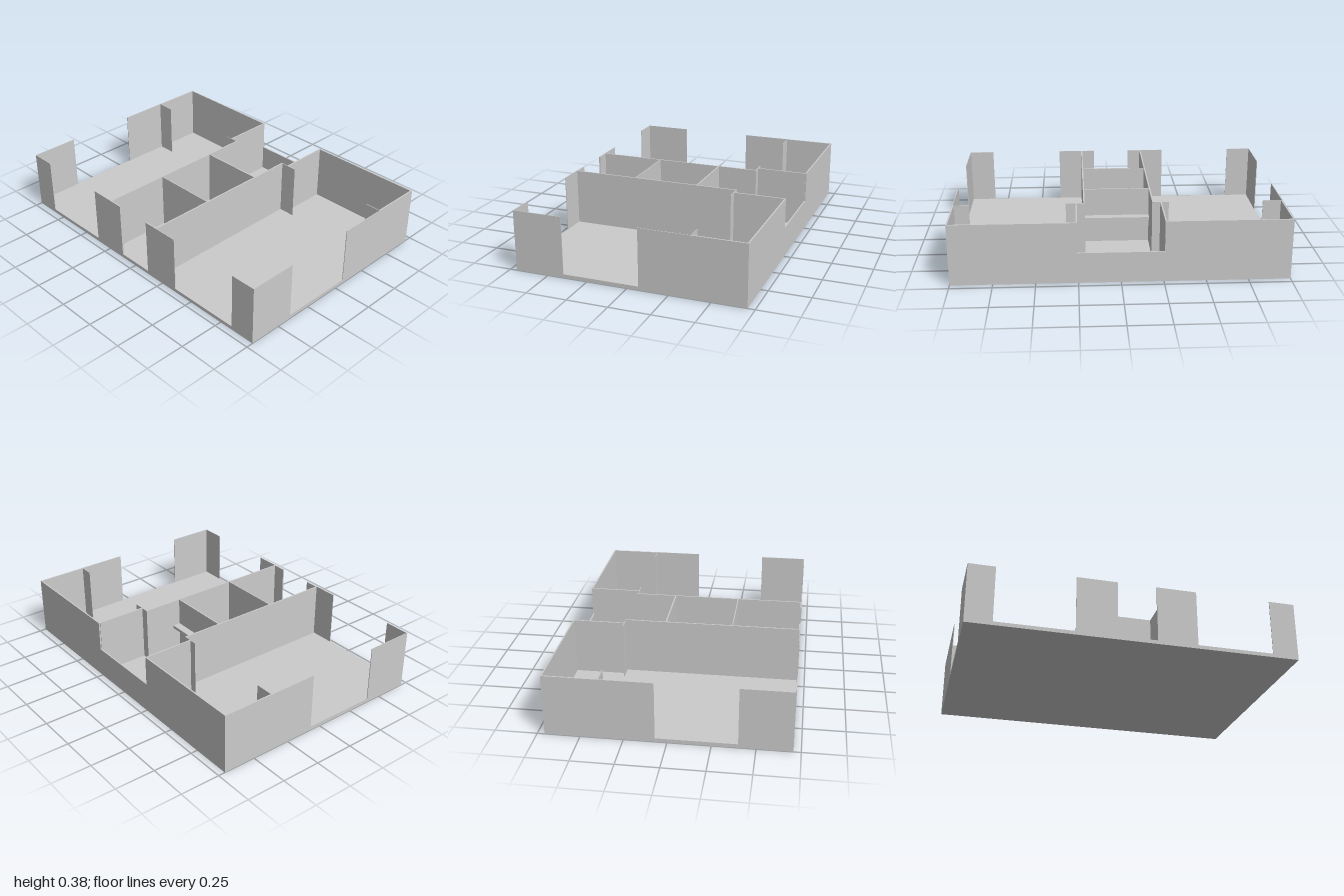
import * as THREE from 'three';

const FLOOR = 0.023;   // top of the floor slab
const TOP = 0.375;     // top of the full-height walls
const X = 1, Z = 0.707; // half width and half depth
const THIN = 0.004, THICK = 0.009;

export function createModel() {
  const model = new THREE.Group();
  model.name = 'housePlan';
  const material = new THREE.MeshStandardMaterial({ color: 0xcccccc, flatShading: true });

  // Box given by its two extreme corners
  function block(name, x0, x1, y0, y1, z0, z1) {
    const mesh = new THREE.Mesh(new THREE.BoxGeometry(x1 - x0, y1 - y0, z1 - z0), material);
    mesh.position.set((x0 + x1) / 2, (y0 + y1) / 2, (z0 + z1) / 2);
    mesh.name = name;
    model.add(mesh);
  }
  const wall = (name, x0, x1, z0, z1, top = TOP) => block(name, x0, x1, FLOOR, top, z0, z1);

  block('floor', -X, X, 0, FLOOR, -Z, Z);

  // Back wall: full height behind the side rooms, low in the middle
  wall('backWallRight', -X, -0.256, -Z, -Z + THICK);
  wall('backWallLeft', 0.256, X, -Z, -Z + THICK);
  wall('backWallLow', -0.256, 0.256, -Z, -Z + THICK, 0.188);

  for (const s of [-1, 1]) {
    const side = s < 0 ? 'Right' : 'Left';
    // Wall between two x positions measured outwards from the centre
    const mirrored = (name, a, b, z0, z1) =>
      wall(name + side, Math.min(s * a, s * b), Math.max(s * a, s * b), z0, z1);

    // Outer side walls with a wide opening between them
    mirrored('sideWallBack', X - THICK, X, -Z + THICK, -0.38);
    mirrored('sideWallMiddle', X - THIN, X, -0.38, -0.07);
    mirrored('sideWallFront', X - THIN, X, 0.4, Z);

    // Front piers
    mirrored('frontCornerPier', 0.838, X - THIN, Z - THIN, Z);
    mirrored('frontPier', 0.21, 0.367, Z - THIN, Z);
    mirrored('entrancePier', 0.12, 0.21, Z - THICK, Z);

    // Long inner walls and the wider-set walls of the back area
    mirrored('innerWall', 0.204, 0.213, -0.38, Z - THICK);
    mirrored('backRoomWall', 0.253, 0.262, -Z + THICK, -0.38);

    // Short returns either side of the back-room openings
    mirrored('innerReturn', 0.204, s < 0 ? 0.305 : 0.32, -0.384, -0.38);
    mirrored('outerReturn', s < 0 ? 0.88 : 0.9, X - THIN, -0.384, -0.38);
  }

  // Cross walls and the shelf in the central strip
  wall('crossWallFront', -0.204, 0.204, 0.287, 0.293);
  wall('crossWallBack', -0.204, 0.204, -0.13, -0.121);
  block('shelf', -0.204, 0.204, 0.18, 0.2, -0.18, -0.13);

  return model;
}
